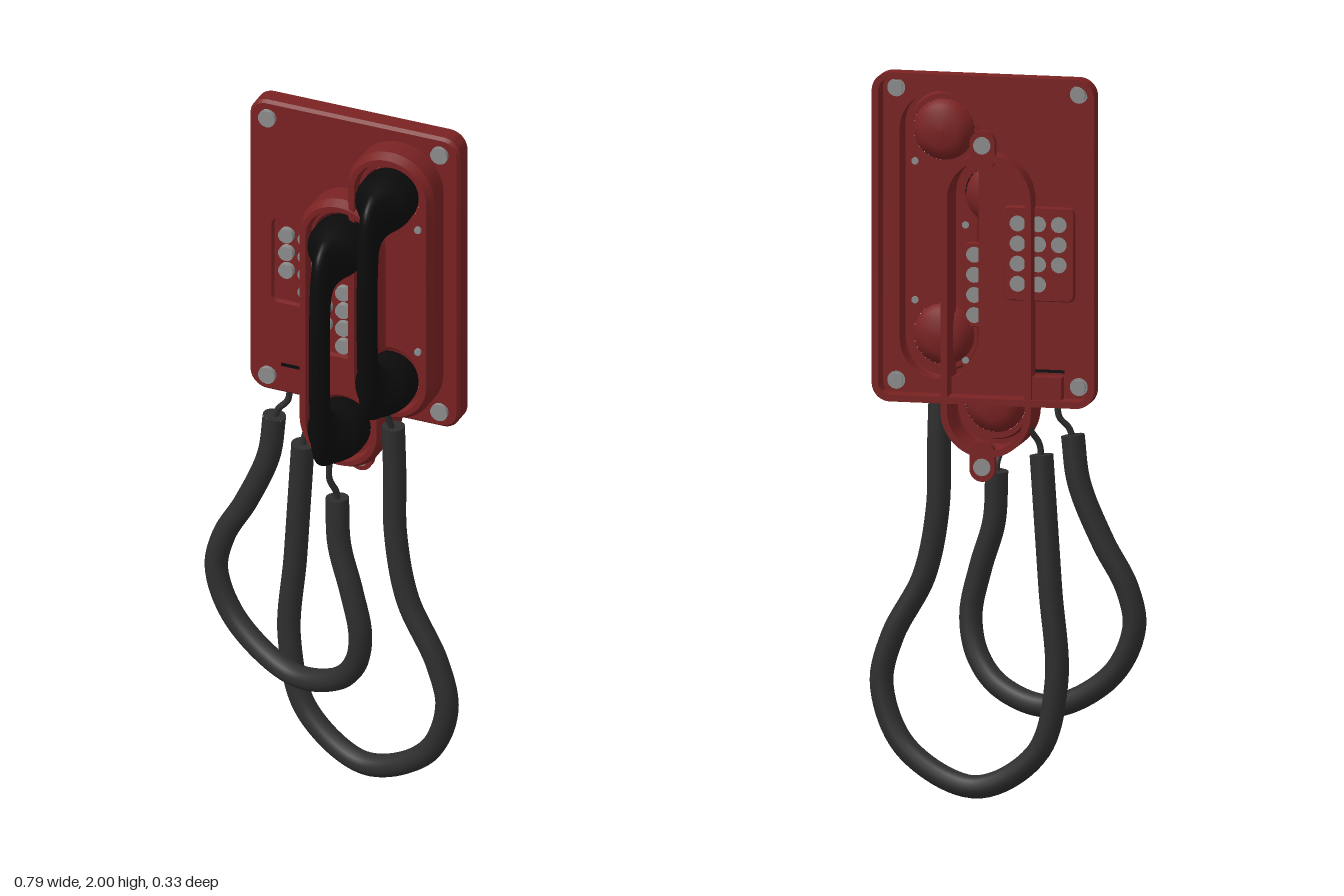
import * as THREE from 'three';
import { toCreasedNormals } from 'three/addons/utils/BufferGeometryUtils.js';

const mat = (name, color, side = THREE.FrontSide) => {
  const m = new THREE.MeshStandardMaterial({ color, side });
  m.name = name;
  return m;
};

// Rounded rectangle outline [cx, cy, halfWidth, halfHeight, radius], pulled in by an inset
function outline([cx, cy, hw, hh, r], inset = 0) {
  const w = hw - inset, h = hh - inset, q = Math.max(Math.min(r - inset, w), 0.004), pts = [];
  for (let k = 0; k < 4; k++) {
    const sx = k === 0 || k === 3 ? 1 : -1, sy = k < 2 ? 1 : -1;
    for (let i = 0; i <= 12; i++) {
      const a = (k + i / 12) * Math.PI / 2;
      pts.push(new THREE.Vector2(cx + sx * (w - q) + q * Math.cos(a), cy + sy * (h - q) + q * Math.sin(a)));
    }
  }
  return pts;
}

const circle = (x, y, r) => outline([x, y, r, r, r]);

// Surface from equally long rings of points
function loft(rings, crease) {
  const n = rings[0].length, pos = [], idx = [];
  rings.forEach(ring => ring.forEach(p => pos.push(p.x, p.y, p.z)));
  for (let j = 0; j < rings.length - 1; j++) {
    for (let i = 0; i < n; i++) {
      const a = j * n + i, b = j * n + (i + 1) % n;
      idx.push(a, b, b + n, a, b + n, a + n);
    }
  }
  const g = new THREE.BufferGeometry();
  g.setAttribute('position', new THREE.Float32BufferAttribute(pos, 3));
  g.setIndex(idx);
  if (crease) return toCreasedNormals(g, crease);
  g.computeVertexNormals();
  return g;
}

// Wall following an outline; profile is a list of [inset, z]
const wall = (rect, profile) => loft(profile.map(([inset, z]) =>
  outline(rect, inset).map(p => new THREE.Vector3(p.x, p.y, z))), 0.5);

// Flat sheet with holes
function sheet(points, holes, z) {
  const s = new THREE.Shape(points);
  holes.forEach(h => s.holes.push(new THREE.Path(h)));
  return new THREE.ShapeGeometry(s).translate(0, 0, z);
}

export function createModel() {
  const root = new THREE.Group();
  const red = mat('red housing', 0x7a2222, THREE.DoubleSide);
  const black = mat('black handset', 0x0b0b0b, THREE.DoubleSide);
  const grey = mat('dark grey cord', 0x2e2e2e);
  const metal = mat('light metal', 0x8c8c8c);

  const add = (parent, name, geo, material) => {
    const m = new THREE.Mesh(geo, material);
    m.name = name;
    parent.add(m);
    return m;
  };
  const group = name => {
    const g = new THREE.Group();
    g.name = name;
    root.add(g);
    return g;
  };
  const stud = (parent, name, x, y, z, r, h = 0.012) =>
    add(parent, name, new THREE.CylinderGeometry(r, r, h, 14).rotateX(Math.PI / 2).translate(x, y, z), metal);

  // Sunken keypad: walls, floor and keys (bottom left key left out)
  function keypad(parent, rect, z, dx) {
    const [cx, cy] = rect;
    add(parent, 'keypadWall', wall(rect, [[0, z], [0.004, z - 0.012]]), red);
    add(parent, 'keypadFloor', sheet(outline(rect, 0.004), [], z - 0.012), red);
    for (let row = 0; row < 4; row++) {
      for (let col = 0; col < 3; col++) {
        if (row === 3 && col === 0) continue;
        stud(parent, 'key', cx + (col - 1) * dx, cy + 0.083 - row * 0.055, z - 0.004, 0.022, 0.018);
      }
    }
  }

  // Back plate, hollow behind
  const plateRect = [0.0425, 1.55, 0.3075, 0.45, 0.05];
  const podRectA = [0.177, 1.55, 0.127, 0.412, 0.127];
  const podRectB = [0.035, 1.37, 0.125, 0.415, 0.125];
  const padA = [-0.1, 1.51, 0.1, 0.13, 0.02];
  const padB = [0.037, 1.408, 0.084, 0.118, 0.02];
  const plate = group('backPlate');
  add(plate, 'plateRim', wall(plateRect,
    [[0.018, -0.108], [0.018, -0.163], [0, -0.163], [0, -0.115], [0.008, -0.106]]), red);
  add(plate, 'plateFace', sheet(outline(plateRect, 0.008), [outline(podRectA, 0.01), outline(padA)], -0.106), red);
  keypad(plate, padA, -0.106, 0.057);
  for (const x of [-0.21, 0.295]) for (const y of [1.15, 1.95]) {
    stud(plate, 'cornerScrew', x, y, -0.101, 0.025, 0.014);
    stud(plate, 'screwEnd', x, y, -0.112, 0.02, 0.014);
  }
  add(plate, 'cordSlot', new THREE.BoxGeometry(0.09, 0.008, 0.006).translate(-0.125, 1.19, -0.105), black);
  add(plate, 'cordBlock', new THREE.BoxGeometry(0.09, 0.07, 0.04).translate(-0.125, 1.145, -0.13), red);

  // Cradle: hollow rounded shell with a sunken floor and two cups
  function cradle(name, rect, back, lift, cups, pad) {
    const g = group(name), x = rect[0], floor = -0.045 + lift;
    add(g, 'shell', wall(rect, [[0.018, floor - 0.01], [0.018, back], [0, back], [0, -0.045 + lift],
      [0.014, -0.021 + lift], [0.028, -0.021 + lift], [0.034, floor]]), red);
    const holes = cups.map(y => circle(x, y, 0.084));
    if (pad) holes.push(outline(pad));
    add(g, 'floor', sheet(outline(rect, 0.034), holes, floor), red);
    for (const y of cups) {
      const profile = [[0.0001, -0.045], [0.045, -0.043], [0.07, -0.03], [0.084, 0]].map(p => new THREE.Vector2(...p));
      add(g, 'cup', new THREE.LatheGeometry(profile, 32).rotateX(Math.PI / 2).translate(x, y, floor), red);
    }
    if (pad) keypad(g, pad, floor, 0.055);
    return g;
  }
  const cradleA = cradle('upperCradle', podRectA, -0.106, 0, [1.83, 1.27]);
  const cradleB = cradle('lowerCradle', podRectB, -0.163, 0.003, [1.658, 1.09], padB);
  for (const y of [1.36, 1.74]) stud(cradleA, 'smallScrew', 0.257, y, -0.043, 0.01);
  for (const x of [-0.042, 0.118]) for (const y of [1.2, 1.57]) stud(cradleB, 'smallScrew', x, y, -0.04, 0.01);

  // Fixing tabs above and below the lower cradle
  for (const y of [0.945, 1.795]) {
    const tab = new THREE.Shape(outline([0.045, y, 0.035, 0.055, 0.035]));
    add(cradleB, 'fixingTab', new THREE.ExtrudeGeometry(tab, { depth: 0.022, bevelEnabled: false }).translate(0, 0, -0.163), red);
    stud(cradleB, 'tabScrew', 0.045, y < 1.3 ? y - 0.015 : y + 0.015, -0.15, 0.024, 0.034);
  }

  // Handset: half profile as [outer y, outer z, inner y, inner z, half width], mirrored
  const half = [
    [0.286, -0.065, 0.284, -0.065, 0.001], [0.345, -0.062, 0.225, -0.062, 0.06],
    [0.363, -0.045, 0.207, -0.045, 0.078], [0.367, 0, 0.203, 0, 0.082],
    [0.362, 0.035, 0.203, 0.022, 0.077], [0.353, 0.072, 0.2, 0.047, 0.054],
    [0.342, 0.105, 0.185, 0.068, 0.035], [0.315, 0.137, 0.16, 0.08, 0.028],
    [0.25, 0.151, 0.12, 0.088, 0.027]];
  const sections = [...half, [0, 0.16, 0, 0.092, 0.027],
    ...half.slice().reverse().map(([a, b, c, d, w]) => [-a, b, -c, d, w])];
  const outer = new THREE.CatmullRomCurve3(sections.map(s => new THREE.Vector3(s[4], s[0], s[1])));
  const inner = new THREE.CatmullRomCurve3(sections.map(s => new THREE.Vector3(s[4], s[2], s[3])));
  const rings = [];
  for (let j = 0; j <= 72; j++) {
    const o = outer.getPoint(j / 72), n = inner.getPoint(j / 72), ring = [];
    for (let i = 0; i < 28; i++) {
      const a = i / 28 * Math.PI * 2, t = 0.5 + 0.5 * Math.cos(a);
      ring.push(new THREE.Vector3(o.x * Math.sin(a), n.y + (o.y - n.y) * t, n.z + (o.z - n.z) * t));
    }
    rings.push(ring);
  }
  const handset = loft(rings);
  add(root, 'upperHandset', handset, black).position.set(0.18, 1.55, 0);
  add(root, 'lowerHandset', handset, black).position.set(0.04, 1.375, 0);

  // Cords: thick sleeve with capped ends and a thin wire at each end
  function cord(name, path, wires) {
    const g = group(name), pts = path.map(p => new THREE.Vector3(...p));
    add(g, 'sleeve', new THREE.TubeGeometry(new THREE.CatmullRomCurve3(pts), 110, 0.032, 14), grey);
    [[pts[0], pts[1]], [pts[pts.length - 1], pts[pts.length - 2]]].forEach(([end, next]) => {
      const cap = add(g, 'sleeveEnd', new THREE.CircleGeometry(0.032, 14), grey);
      cap.position.copy(end);
      cap.lookAt(end.clone().multiplyScalar(2).sub(next));
    });
    wires.forEach(w => add(g, 'wire', new THREE.TubeGeometry(
      new THREE.CatmullRomCurve3(w.map(p => new THREE.Vector3(...p))), 20, 0.009, 8), grey));
  }
  cord('shortCord', [
    [-0.195, 1.02, -0.115], [-0.213, 0.89, -0.117], [-0.28, 0.73, -0.118], [-0.345, 0.61, -0.118],
    [-0.365, 0.5, -0.115], [-0.3, 0.365, -0.1], [-0.12, 0.265, -0.055], [0.03, 0.305, -0.01],
    [0.1, 0.385, 0.02], [0.122, 0.49, 0.037], [0.095, 0.62, 0.036], [0.055, 0.75, 0.025], [0.046, 0.89, 0.018]],
  [[[-0.155, 1.13, -0.125], [-0.16, 1.07, -0.125], [-0.185, 1.04, -0.118], [-0.198, 1, -0.115]],
    [[0.04, 1.05, 0.05], [0.035, 0.96, 0.045], [0.047, 0.91, 0.025], [0.046, 0.87, 0.018]]]);
  cord('longCord', [
    [0.19, 1.12, -0.03], [0.195, 0.97, -0.028], [0.2, 0.79, -0.022], [0.24, 0.6, -0.012], [0.33, 0.43, -0.002],
    [0.36, 0.295, 0], [0.29, 0.13, -0.018], [0.09, 0.035, -0.055], [-0.09, 0.14, -0.09],
    [-0.148, 0.34, -0.107], [-0.132, 0.6, -0.112], [-0.105, 0.96, -0.1]],
  [[[0.18, 1.22, 0.01], [0.182, 1.16, -0.01], [0.19, 1.1, -0.03]],
    [[-0.075, 1.13, -0.125], [-0.075, 1.04, -0.12], [-0.1, 0.99, -0.103], [-0.105, 0.94, -0.1]]]);
  return root;
}
